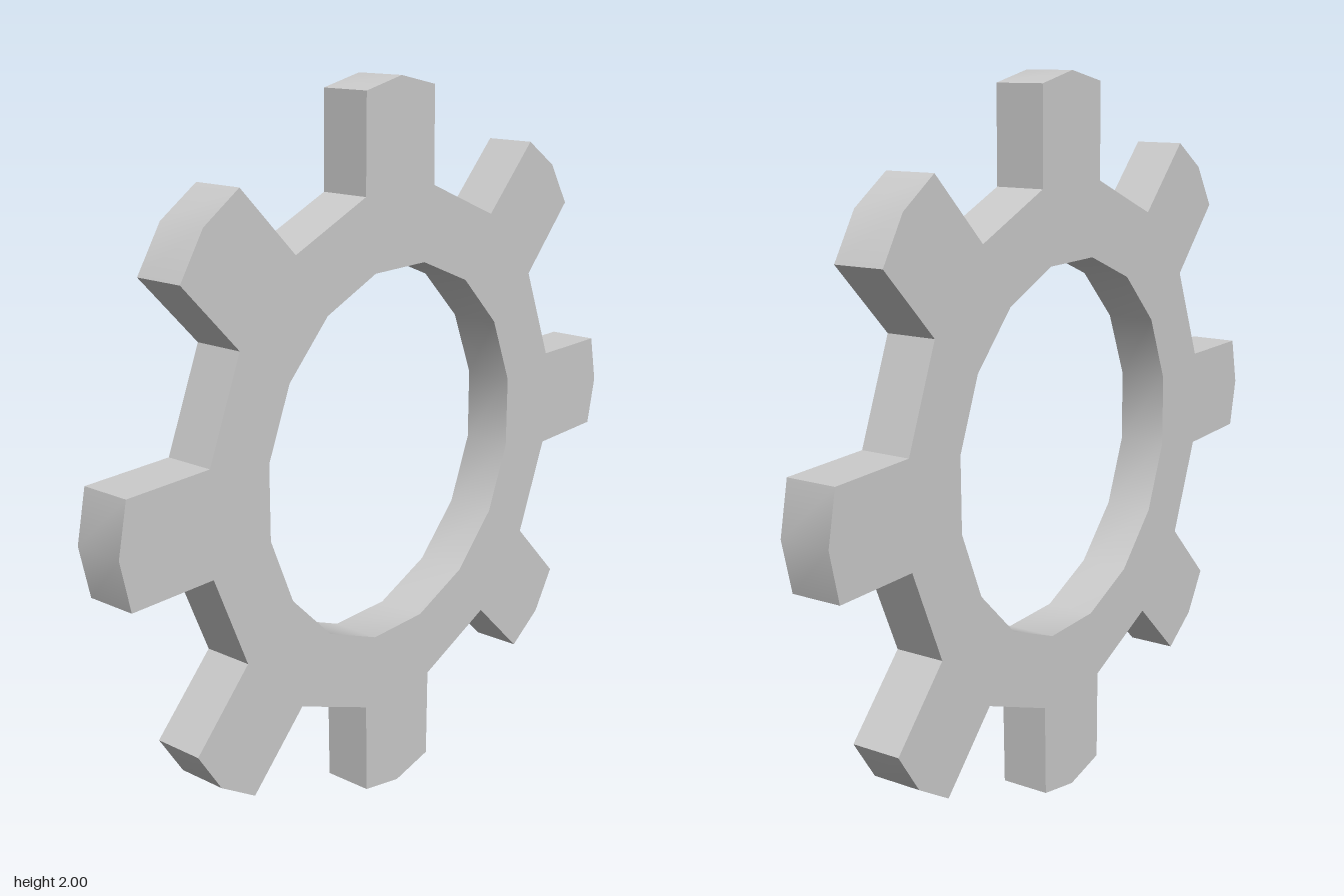
import * as THREE from 'three';
import { toCreasedNormals } from 'three/addons/utils/BufferGeometryUtils.js';

const THICKNESS = 0.14;

// Point at a radius and an angle measured counter-clockwise from straight up
const polar = (r, a) => new THREE.Vector2(-r * Math.sin(a), r * Math.cos(a));

export function createModel() {
  const group = new THREE.Group();
  group.name = 'gear';
  const material = new THREE.MeshStandardMaterial({ color: 0xcccccc });

  // Outline of eight teeth, each with a pointed tip
  const tooth = [[0.724, -0.195], [0.98, -0.141], [1, 0], [0.98, 0.141], [0.724, 0.195]];
  const outline = [];
  for (let i = 0; i < 8; i++) {
    for (const [r, a] of tooth) outline.push(polar(r, a + i * Math.PI / 4));
  }
  const shape = new THREE.Shape(outline);

  // Sixteen-sided centre hole
  const hole = [];
  for (let i = 0; i < 16; i++) hole.push(polar(0.52, (i + 0.5) * Math.PI / 8));
  shape.holes.push(new THREE.Path(hole));

  const geometry = new THREE.ExtrudeGeometry(shape, { depth: THICKNESS, bevelEnabled: false });
  geometry.translate(0, 0, -THICKNESS / 2);

  // Stand the wheel facing sideways, with a very slight tilt
  geometry.rotateY(Math.PI / 2 - 0.011);
  geometry.rotateZ(-0.0035);
  geometry.translate(0, 1, 0);

  const wheel = new THREE.Mesh(toCreasedNormals(geometry, Math.PI / 6), material);
  wheel.name = 'toothedRing';
  group.add(wheel);
  return group;
}
